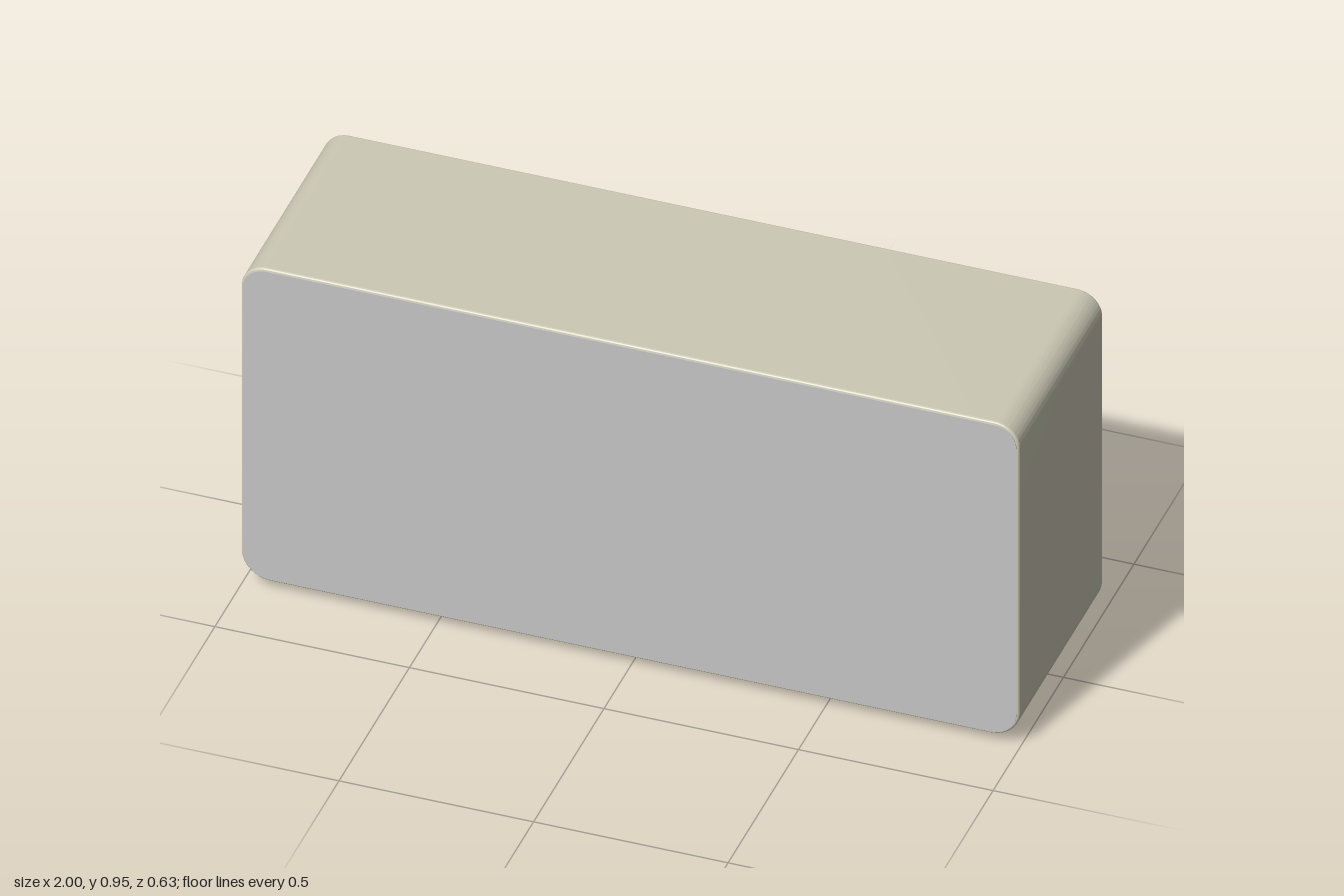
import * as THREE from 'three';
import { toCreasedNormals } from 'three/addons/utils/BufferGeometryUtils.js';

const material = (name, color) => {
  const m = new THREE.MeshStandardMaterial({ color });
  m.name = name;
  return m;
};

// Rounded outline of the cabinet, pulled in by an inset
function outline(inset) {
  const x = 1 - inset, y0 = 0.027 + inset, y1 = 0.953 - inset;
  const t = 0.065 - inset, b = 0.075 - inset;
  const s = new THREE.Shape();
  s.moveTo(-x + b, y0);
  s.lineTo(x - b, y0);
  s.absarc(x - b, y0 + b, b, -Math.PI / 2, 0, false);
  s.lineTo(x, y1 - t);
  s.absarc(x - t, y1 - t, t, 0, Math.PI / 2, false);
  s.lineTo(-x + t, y1);
  s.absarc(-x + t, y1 - t, t, Math.PI / 2, Math.PI, false);
  s.lineTo(-x, y0 + b);
  s.absarc(-x + b, y0 + b, b, Math.PI, Math.PI * 1.5, false);
  return s;
}

export function createModel() {
  const model = new THREE.Group();
  model.name = 'wallCabinet';
  const shell = material('warm ivory', 0xccc9b5);
  const grey = material('light grey', 0xc5c5c5);
  const metal = material('metal grey', 0xb8b8bc);

  const add = (parent, name, geometry, mat, x = 0, y = 0, z = 0) => {
    const mesh = new THREE.Mesh(geometry, mat);
    mesh.name = name;
    mesh.position.set(x, y, z);
    parent.add(mesh);
    return mesh;
  };

  // Cabinet body with softened front and back edges
  const bevel = 0.007, back = -0.28, front = 0.314;
  const body = new THREE.ExtrudeGeometry(outline(bevel), {
    depth: front - back - 2 * bevel, curveSegments: 12,
    bevelThickness: bevel, bevelSize: bevel, bevelSegments: 3,
  });
  add(model, 'body', toCreasedNormals(body, 0.25), shell, 0, 0, back + bevel);

  // Thin front panel
  const panel = new THREE.ExtrudeGeometry(outline(bevel), {
    depth: 0.002, curveSegments: 12, bevelEnabled: false,
  });
  add(model, 'frontPanel', panel, grey, 0, 0, front);

  // Access cover underneath
  add(model, 'bottomCover', new THREE.BoxGeometry(1.72, 0.013, 0.335), shell, 0, 0.0215, 0.0075);

  // Cover screws
  const screw = new THREE.CylinderGeometry(0.0125, 0.0125, 0.016, 20);
  for (const x of [-0.757, 0.757])
    for (const z of [-0.137, 0.152]) add(model, 'coverScrew', screw, metal, x, 0.008, z);

  // Mounting studs on the back
  const shaft = new THREE.CylinderGeometry(0.011, 0.011, 0.026, 20).rotateX(Math.PI / 2);
  const head = new THREE.CylinderGeometry(0.027, 0.027, 0.014, 28).rotateX(Math.PI / 2);
  for (const x of [-0.483, 0.483])
    for (const y of [0.366, 0.797]) {
      const stud = new THREE.Group();
      stud.name = 'mountingStud';
      stud.position.set(x, y, 0);
      add(stud, 'studShaft', shaft, metal, 0, 0, -0.291);
      add(stud, 'studHead', head, metal, 0, 0, -0.309);
      model.add(stud);
    }
  return model;
}
